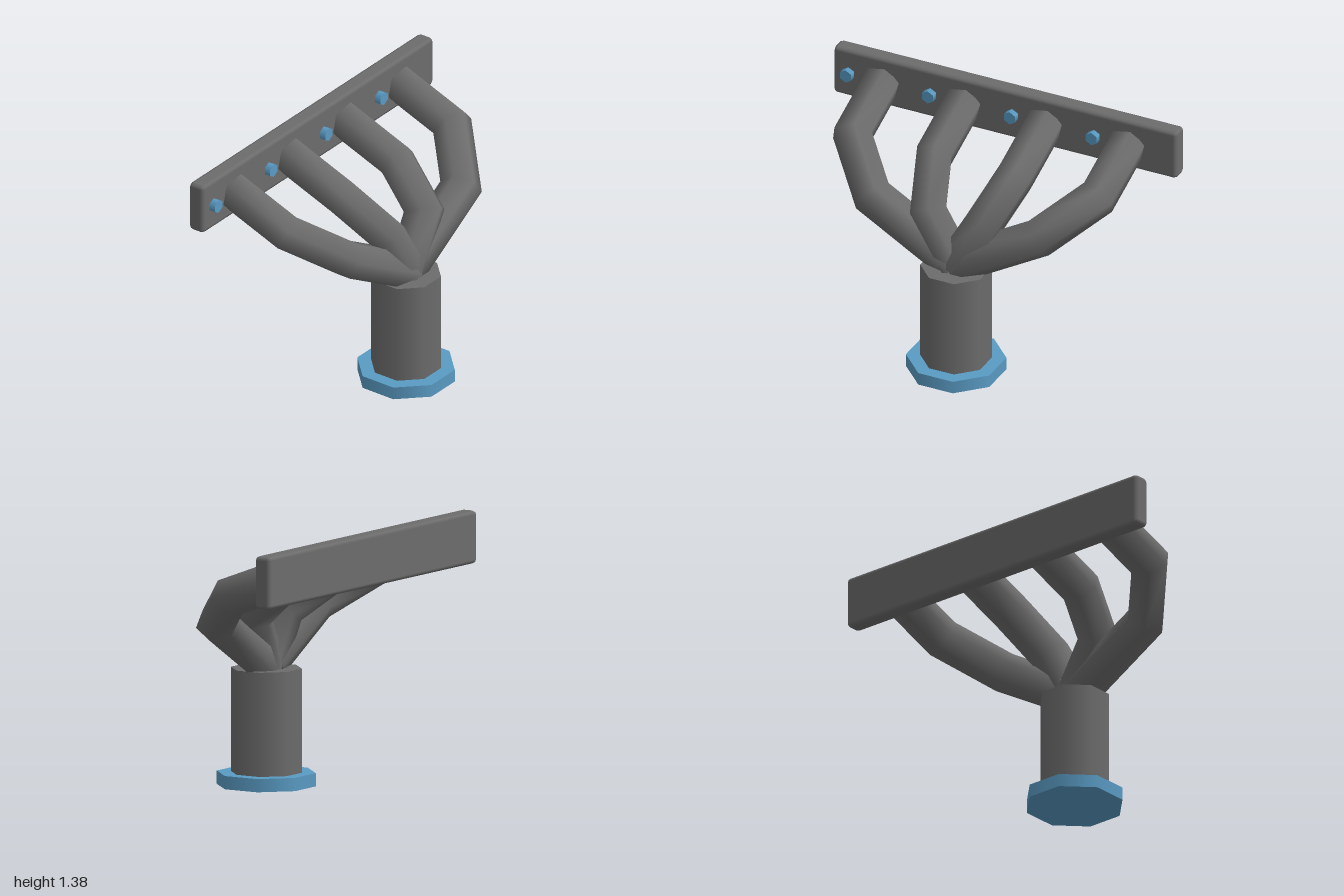
import * as THREE from 'three';
import { RoundedBoxGeometry } from 'three/addons/geometries/RoundedBoxGeometry.js';

const castMetal = new THREE.MeshStandardMaterial({ color: 0x6c6c6c });
castMetal.name = 'castMetal';
const blueMetal = new THREE.MeshStandardMaterial({ color: 0x5a9bc4 });
blueMetal.name = 'blueMetal';

const SIDES = 6, RADIUS = 0.106;

// Sweep a hexagon along a polyline with mitred joints
function mitredPipe(path) {
  const dirs = path.slice(1).map((p, i) => p.clone().sub(path[i]).normalize());
  const side = new THREE.Vector3(1, 0, 0);
  const up = dirs[0].clone().cross(side).multiplyScalar(-1);
  if (up.y < 0) up.negate();
  let ring = [];
  for (let k = 0; k < SIDES; k++) {
    const a = Math.PI / 12 + (k / SIDES) * Math.PI * 2;
    ring.push(path[0].clone()
      .addScaledVector(side, RADIUS * Math.cos(a))
      .addScaledVector(up, RADIUS * Math.sin(a)));
  }
  const pos = [], index = [];
  ring.forEach((v) => pos.push(v.x, v.y, v.z));
  for (let i = 1; i < path.length; i++) {
    // slide the ring along the segment onto the joint's mitre plane
    const d = dirs[i - 1];
    const n = d.clone().add(dirs[i] || d).normalize();
    ring = ring.map((v) => {
      const t = path[i].clone().sub(v).dot(n) / d.dot(n);
      return v.clone().addScaledVector(d, t);
    });
    ring.forEach((v) => pos.push(v.x, v.y, v.z));
    for (let k = 0; k < SIDES; k++) {
      const a = (i - 1) * SIDES + k, b = (i - 1) * SIDES + ((k + 1) % SIDES);
      index.push(a, b + SIDES, b, a, a + SIDES, b + SIDES);
    }
  }
  // end cap with its own vertices
  const base = pos.length / 3;
  ring.forEach((v) => pos.push(v.x, v.y, v.z));
  for (let k = 1; k < SIDES - 1; k++) index.push(base, base + k + 1, base + k);

  const geo = new THREE.BufferGeometry();
  geo.setAttribute('position', new THREE.Float32BufferAttribute(pos, 3));
  // orient faces outward: the first side face must point away from the path
  const A = new THREE.Vector3().fromArray(pos, 0);
  const B = new THREE.Vector3().fromArray(pos, index[1] * 3);
  const C = new THREE.Vector3().fromArray(pos, index[2] * 3);
  const normal = B.sub(A).cross(C.sub(A));
  if (normal.dot(A.sub(path[0])) < 0) index.reverse();
  geo.setIndex(index);
  geo.computeVertexNormals();
  return geo;
}

export function createModel() {
  const group = new THREE.Group();
  const add = (name, geo, mat, x, y, z) => {
    const mesh = new THREE.Mesh(geo, mat);
    mesh.name = name;
    mesh.position.set(x, y, z);
    group.add(mesh);
    return mesh;
  };
  const octagon = (apothem, height) => {
    const r = apothem / Math.cos(Math.PI / 8);
    return new THREE.CylinderGeometry(r, r, height, 8).rotateY(Math.PI / 8);
  };

  // Outlet flange and collector
  const cz = 0.213;
  add('outletFlange', octagon(0.243, 0.07), blueMetal, 0, 0.035, cz);
  add('collector', octagon(0.174, 0.56), castMetal, 0, 0.34, cz);

  // Mounting plate
  add('mountingPlate', new RoundedBoxGeometry(2, 0.28, 0.095, 1, 0.022), castMetal, 0, 1.24, -0.4075);

  // Four runner pipes: plate, first bend, second bend, collector
  const runners = [[-0.72, -0.49], [-0.245, -0.165], [0.23, 0.16], [0.71, 0.48]];
  runners.forEach(([x, bendX], i) => {
    const path = [
      [x, 1.236, -0.38],
      [x, 1.1, -0.022],
      [bendX, 0.915, 0.21],
      [0, 0.635, 0.212],
    ].map((p) => new THREE.Vector3(...p));
    add('runnerPipe' + (i + 1), mitredPipe(path), castMetal, 0, 0, 0);
  });

  // Hex bolts on the plate
  for (let i = 0; i < 4; i++) {
    const bolt = new THREE.CylinderGeometry(0.037, 0.037, 0.05, 6).rotateX(Math.PI / 2);
    add('bolt' + (i + 1), bolt, blueMetal, -0.91 + i * 0.477, 1.24, -0.35);
  }
  return group;
}
